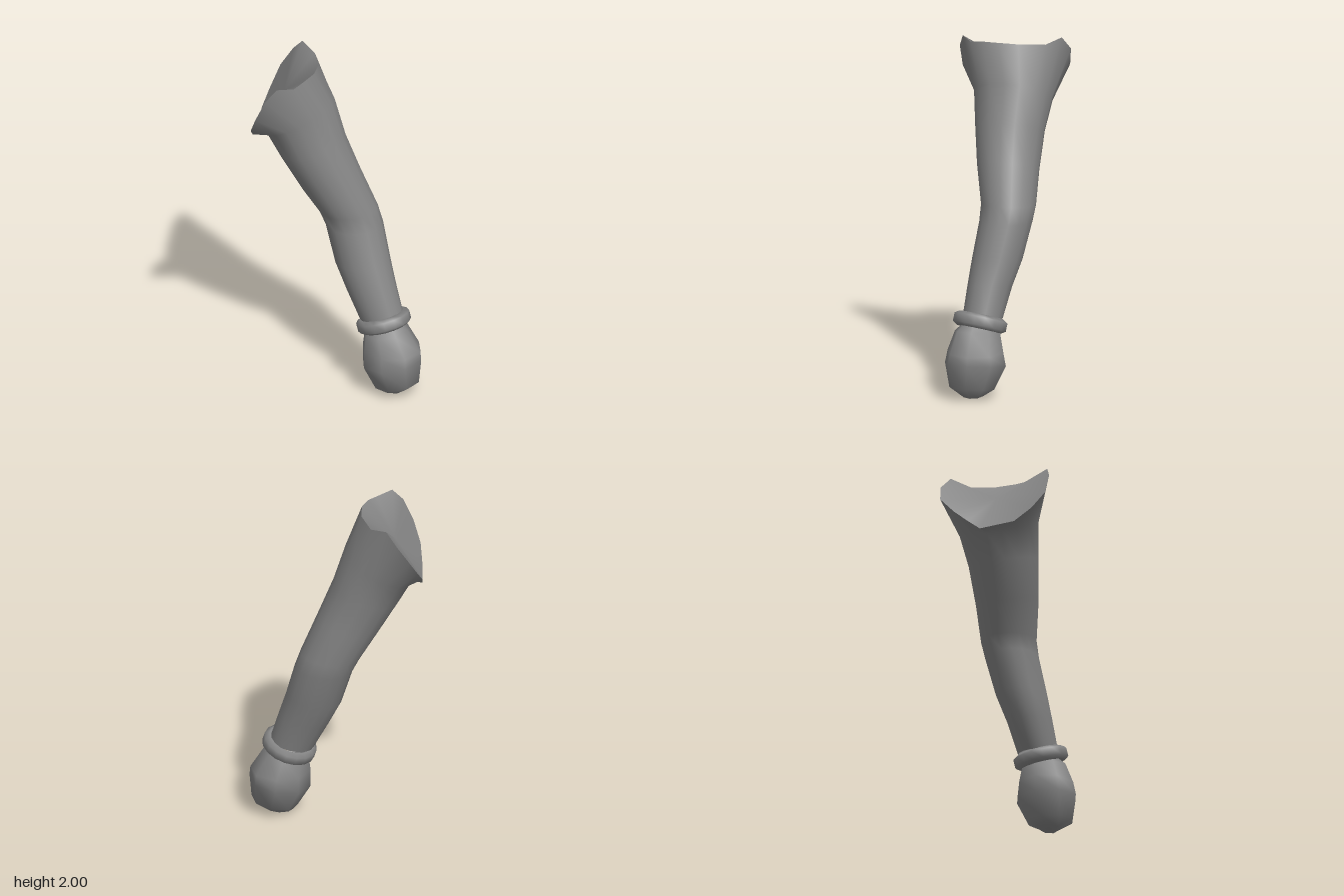
import * as THREE from 'three';

const material = new THREE.MeshStandardMaterial({ color: 0x868686 });
const doubleMaterial = new THREE.MeshStandardMaterial({ color: 0x868686, side: THREE.DoubleSide });

// Slanted oval: outer edge A to inner edge B in x/y, with a front and back depth.
function oval([ax, ay, bx, by, front, back], sides) {
  return Array.from({ length: sides }, (_, i) => {
    const t = (i / sides) * Math.PI * 2;
    const k = (Math.cos(t) + 1) / 2;
    return [ax + (bx - ax) * k, ay + (by - ay) * k,
      (front + back) / 2 + Math.sin(t) * (front - back) / 2];
  });
}

// Smooth skin over rings listed from top to bottom, optionally closed by a bottom point.
function loft(rings, bottom) {
  const n = rings[0].length;
  const pos = rings.flat(2);
  const index = [];
  for (let r = 0; r < rings.length - 1; r++) {
    for (let i = 0; i < n; i++) {
      const a = r * n + i, b = r * n + (i + 1) % n;
      index.push(a, b, a + n, b, b + n, a + n);
    }
  }
  if (bottom) {
    const base = (rings.length - 1) * n;
    pos.push(...bottom);
    for (let i = 0; i < n; i++) index.push(base + n, base + i, base + (i + 1) % n);
  }
  return build(pos, index);
}

function build(pos, index) {
  const g = new THREE.BufferGeometry();
  g.setAttribute('position', new THREE.Float32BufferAttribute(pos, 3));
  g.setIndex(index);
  g.computeVertexNormals();
  return g;
}

export function createModel() {
  const group = new THREE.Group();
  const add = (name, geometry, mat = material) => {
    const mesh = new THREE.Mesh(geometry, mat);
    mesh.name = name;
    group.add(mesh);
    return mesh;
  };

  // Saddle-shaped shoulder rim, from the inner side round the front
  const rim = [
    [-0.14, 1.99, 0.04], [-0.165, 1.985, 0.14], [-0.2, 1.97, 0.22], [-0.28, 1.985, 0.29],
    [-0.34, 1.91, 0.325], [-0.4, 1.78, 0.325], [-0.45, 1.67, 0.26], [-0.475, 1.59, 0.16],
    [-0.505, 1.565, -0.04], [-0.515, 1.62, -0.11], [-0.5, 1.7, -0.2], [-0.47, 1.81, -0.3],
    [-0.4, 1.92, -0.325], [-0.33, 2.0, -0.29], [-0.23, 1.975, -0.22], [-0.155, 1.985, -0.08],
  ];

  // Arm sections from below the shoulder, past the elbow, to the wrist
  const sections = [
    [-0.44, 1.56, -0.055, 1.77, 0.21, -0.255],
    [-0.36, 1.42, 0.015, 1.55, 0.18, -0.228],
    [-0.24, 1.22, 0.1, 1.34, 0.14, -0.225],
    [-0.14, 1.06, 0.2, 1.1, 0.085, -0.232],
    [-0.1, 0.98, 0.235, 1.0, 0.085, -0.222],
    [-0.03, 0.76, 0.29, 0.8, 0.11, -0.18],
    [0.05, 0.6, 0.335, 0.66, 0.12, -0.135],
    [0.14, 0.43, 0.39, 0.48, 0.13, -0.1],
  ];
  add('arm', loft([rim, ...sections.map((s) => oval(s, rim.length))]), doubleMaterial);

  // Dished shoulder face
  const n = rim.length;
  const fan = rim.flatMap((_, i) => [n, (i + 1) % n, i]);
  add('shoulderFace', build([...rim.flat(), -0.34, 1.82, 0], fan), doubleMaterial);

  // Flat-sided wrist band, tilted with the forearm
  const profile = [[0.1, -0.022], [0.13, -0.042], [0.158, -0.024],
    [0.158, 0.024], [0.13, 0.042], [0.1, 0.022], [0.1, -0.022]];
  const band = new THREE.LatheGeometry(profile.map(([r, y]) => new THREE.Vector2(r, y)), 16);
  const wristBand = add('wristBand', band);
  wristBand.rotation.set(-0.13, 0, 0.32);
  wristBand.position.set(0.28, 0.432, 0.025);

  // Rounded fist
  const fist = [
    [0.2, 0.41, 0.37, 0.46, 0.11, -0.06],
    [0.17, 0.36, 0.43, 0.4, 0.17, -0.1],
    [0.158, 0.27, 0.51, 0.27, 0.205, -0.13],
    [0.158, 0.17, 0.515, 0.22, 0.22, -0.145],
    [0.235, 0.04, 0.505, 0.08, 0.185, -0.085],
    [0.26, 0.01, 0.41, 0.005, 0.11, -0.01],
  ];
  add('fist', loft(fist.map((s) => oval(s, 8)), [0.34, 0, 0.05]));

  return group;
}
